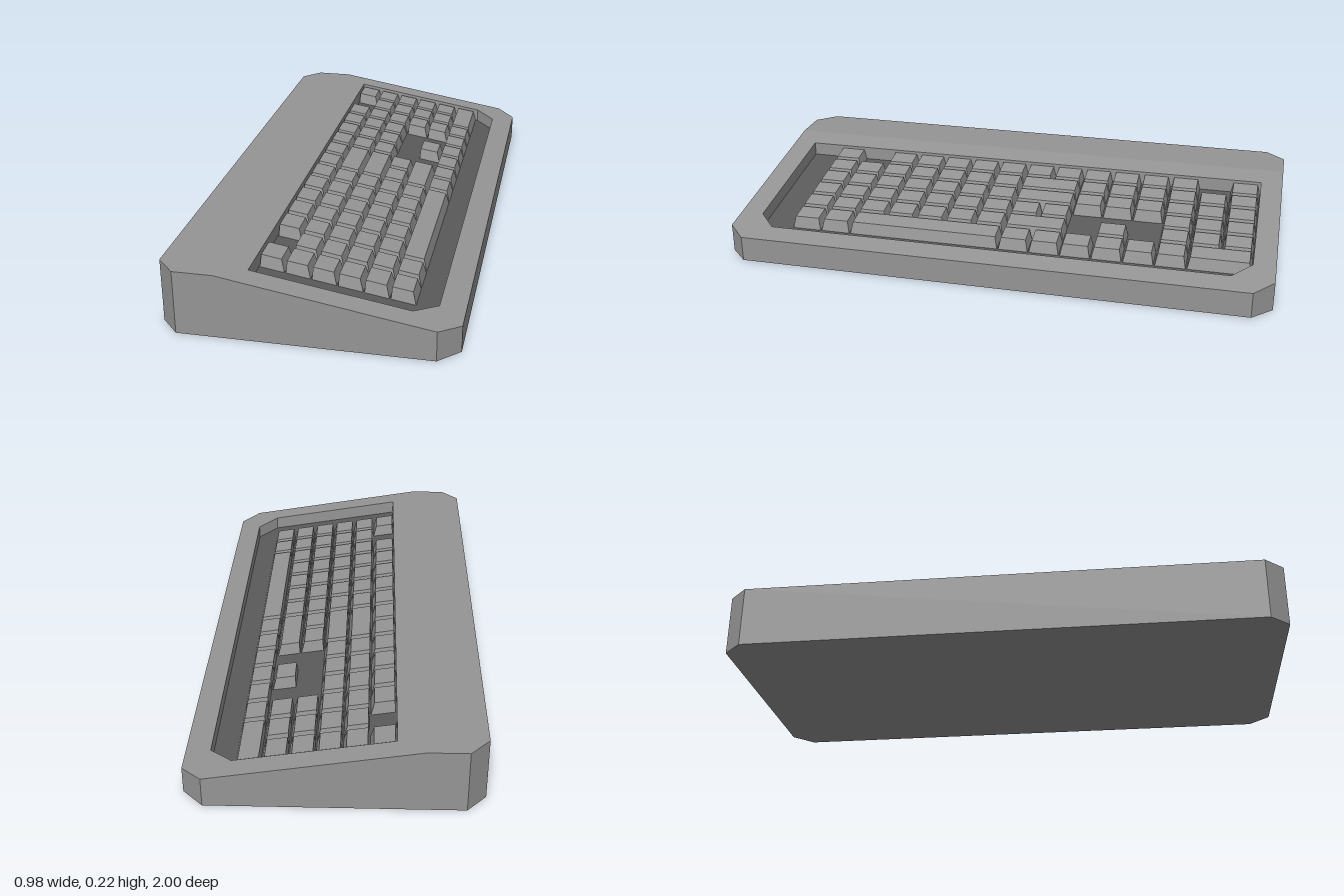
import * as THREE from 'three';

const grey = new THREE.MeshStandardMaterial({ color: 0x959595, flatShading: true });
const dark = new THREE.MeshStandardMaterial({ color: 0x5a5a5a, flatShading: true });

const SLOPE_START = -0.29, HIGH = 0.223, LOW = 0.093, END = 0.49;
const RECESS = 0.05, KEY_HEIGHT = 0.042;

// Height of the case top at a given x
const topY = x => HIGH - (HIGH - LOW) * Math.max(0, x - SLOPE_START) / (END - SLOPE_START);

// Plan outlines are given as [x, z]
const plan = points => points.map(([x, z]) => new THREE.Vector2(x, -z));

function reshape(geometry, rule) {
  const p = geometry.attributes.position;
  for (let i = 0; i < p.count; i++) p.setY(i, rule(p.getX(i), p.getY(i)));
  geometry.computeVertexNormals();
  return geometry;
}

function addMesh(parent, name, geometry, material) {
  const mesh = new THREE.Mesh(geometry, material);
  mesh.name = name;
  parent.add(mesh);
  return mesh;
}

// Vertical walls under a top that follows the slope
function slopedBlock(outline, hole) {
  const shape = new THREE.Shape(plan(outline));
  if (hole) shape.holes.push(new THREE.Path(plan(hole)));
  const g = new THREE.ExtrudeGeometry(shape, { depth: 1, bevelEnabled: false });
  g.rotateX(-Math.PI / 2);
  return reshape(g, (x, y) => (y > 0.5 ? topY(x) : 0));
}

// Tapered key, its base and top following the slope
function keyGeometry(x, z, width, length) {
  const g = new THREE.BoxGeometry(width, 1, length).toNonIndexed();
  const p = g.attributes.position;
  for (let i = 0; i < p.count; i++) {
    const isTop = p.getY(i) > 0;
    const kx = isTop ? p.getX(i) * (1 - 0.014 / width) - 0.004 : p.getX(i);
    const kz = isTop ? p.getZ(i) * (1 - 0.018 / length) : p.getZ(i);
    p.setXYZ(i, x + kx, topY(x + kx) - RECESS + (isTop ? KEY_HEIGHT : 0), z + kz);
  }
  g.computeVertexNormals();
  return g;
}

export function createModel() {
  const model = new THREE.Group();
  model.name = 'keyboard';

  // Case: flat rear block and sloping front block with the key opening
  const opening = [[-0.2, 0.915], [0.33, 0.915], [0.405, 0.845],
    [0.405, -0.85], [0.33, -0.92], [-0.2, -0.92]];
  addMesh(model, 'caseRear', slopedBlock([[-0.49, 0.93], [-0.425, 1],
    [SLOPE_START, 1], [SLOPE_START, -1], [-0.425, -1], [-0.49, -0.93]]), grey);
  addMesh(model, 'caseFront', slopedBlock([[SLOPE_START, 1], [0.42, 1],
    [0.49, 0.93], [0.49, -0.93], [0.42, -1], [SLOPE_START, -1]], opening), grey);

  // Recess floor and the underside panel below it
  const panel = () => new THREE.ShapeGeometry(new THREE.Shape(plan(opening)));
  addMesh(model, 'recessFloor',
    reshape(panel().rotateX(-Math.PI / 2), x => topY(x) - RECESS), dark);
  const under = addMesh(model, 'undersidePanel', panel().rotateX(-Math.PI / 2),
    grey.clone());
  under.material.side = THREE.DoubleSide;

  // Key layout: each column lists [first row, number of rows covered]
  const singles = (from, to) =>
    Array.from({ length: to - from + 1 }, (_, i) => [from + i, 1]);
  const columns = [
    [[0, 1], ...singles(2, 12), [14, 1]],
    [...singles(0, 5), [6, 2], ...singles(8, 14)],
    [...singles(0, 5), [6, 2], ...singles(8, 14)],
    [...singles(0, 2), ...singles(6, 14)],
    [...singles(0, 2), [4, 1], [6, 2], ...singles(8, 14)],
    [[0, 2], ...singles(2, 7), [8, 5], ...singles(13, 14)],
  ];
  const pitchX = 0.0875, pitchZ = 0.1146, gap = 0.005;
  const keys = new THREE.Group();
  keys.name = 'keys';
  model.add(keys);
  columns.forEach((column, c) => column.forEach(([row, span]) => {
    const x = -0.2 + (c + 0.5) * pitchX;
    const z = -0.92 + (row + span / 2) * pitchZ;
    addMesh(keys, span > 2 ? 'spaceBar' : 'key',
      keyGeometry(x, z, pitchX - gap, span * pitchZ - gap), grey);
  }));

  return model;
}
